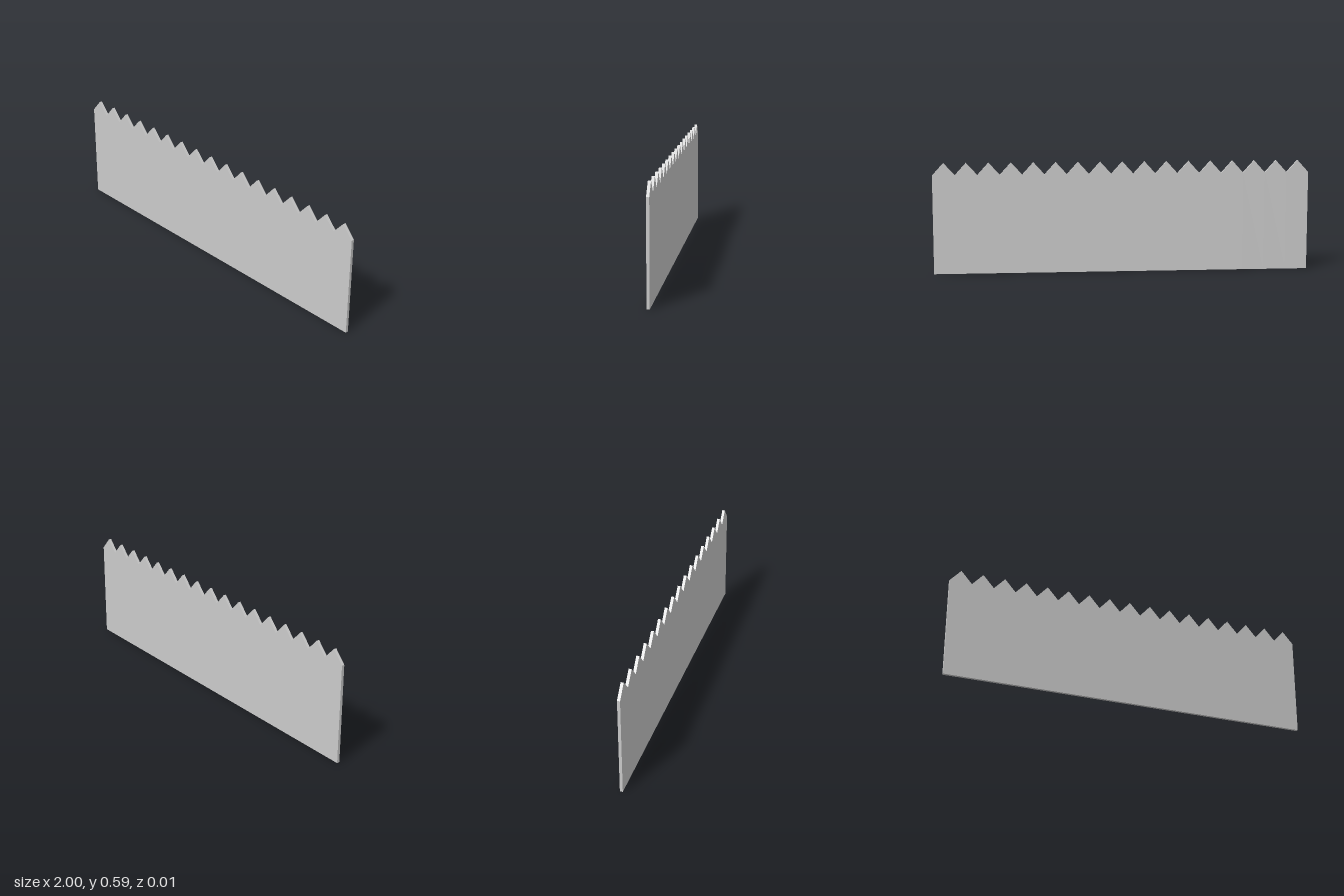
import * as THREE from 'three';

const COUNT = 17;
const PITCH = 2 / COUNT;
const SHOULDER = 0.525;
const PEAK = 0.59;
const DEPTH = 0.015;

export function createModel() {
  const group = new THREE.Group();
  group.name = 'picketFence';
  const material = new THREE.MeshStandardMaterial({ color: 0xcccccc, flatShading: true });

  // One pointed board, shared by every picket
  const half = PITCH / 2;
  const outline = new THREE.Shape([
    new THREE.Vector2(-half, 0),
    new THREE.Vector2(half, 0),
    new THREE.Vector2(half, SHOULDER),
    new THREE.Vector2(0, PEAK),
    new THREE.Vector2(-half, SHOULDER),
  ]);
  const board = new THREE.ExtrudeGeometry(outline, { depth: DEPTH, bevelEnabled: false });
  board.translate(0, 0, -DEPTH / 2);

  // Boards side by side along x
  for (let i = 0; i < COUNT; i++) {
    const picket = new THREE.Mesh(board, material);
    picket.name = `picket${i + 1}`;
    picket.position.x = -1 + (i + 0.5) * PITCH;
    group.add(picket);
  }
  return group;
}
